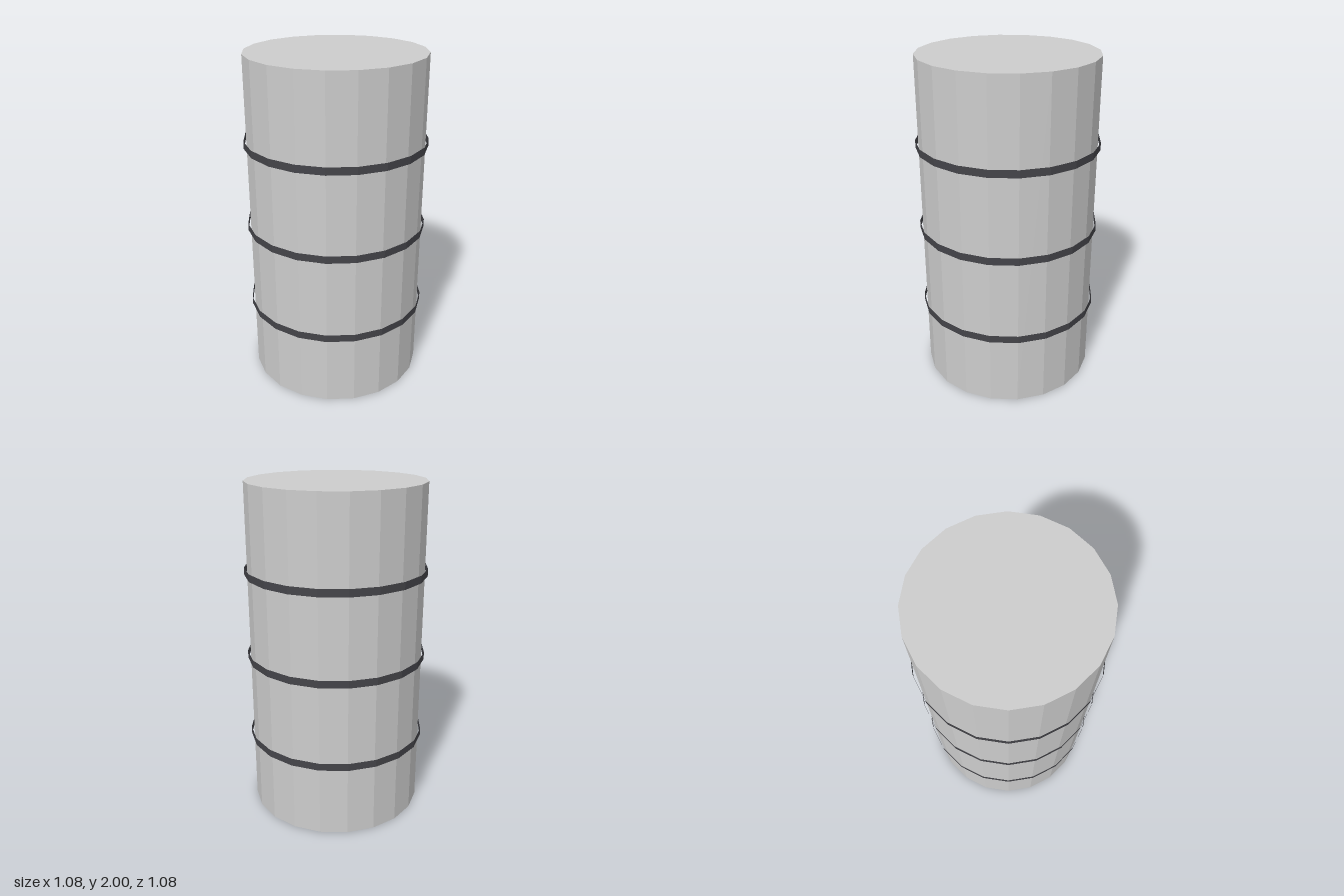
import * as THREE from 'three';

const SIDES = 20;
const RADIUS = 0.523;
const HEIGHT = 2;

function makeMaterial(name, color) {
  const m = new THREE.MeshStandardMaterial({ color, flatShading: true, side: THREE.DoubleSide });
  m.name = name;
  return m;
}

export function createModel() {
  const group = new THREE.Group();
  group.name = 'bandedCylinder';
  const lightGrey = makeMaterial('lightGrey', 0xcccccc);
  const charcoal = makeMaterial('charcoal', 0x444449);

  const add = (name, geometry, material, y) => {
    const mesh = new THREE.Mesh(geometry, material);
    mesh.name = name;
    mesh.position.y = y;
    group.add(mesh);
    return mesh;
  };

  // Faceted shell, open at the bottom
  add('shell', new THREE.CylinderGeometry(RADIUS, RADIUS, HEIGHT, SIDES, 1, true), lightGrey, HEIGHT / 2);

  // Flat lid
  add('lid', new THREE.CircleGeometry(RADIUS, SIDES).rotateX(-Math.PI / 2), lightGrey, HEIGHT);

  // Three thin hoops standing slightly off the shell
  const hoop = new THREE.CylinderGeometry(0.54, 0.54, 0.045, SIDES, 1, true);
  for (let i = 0; i < 3; i++) add(`hoop${i + 1}`, hoop, charcoal, 0.453 + i * 0.516);

  return group;
}
